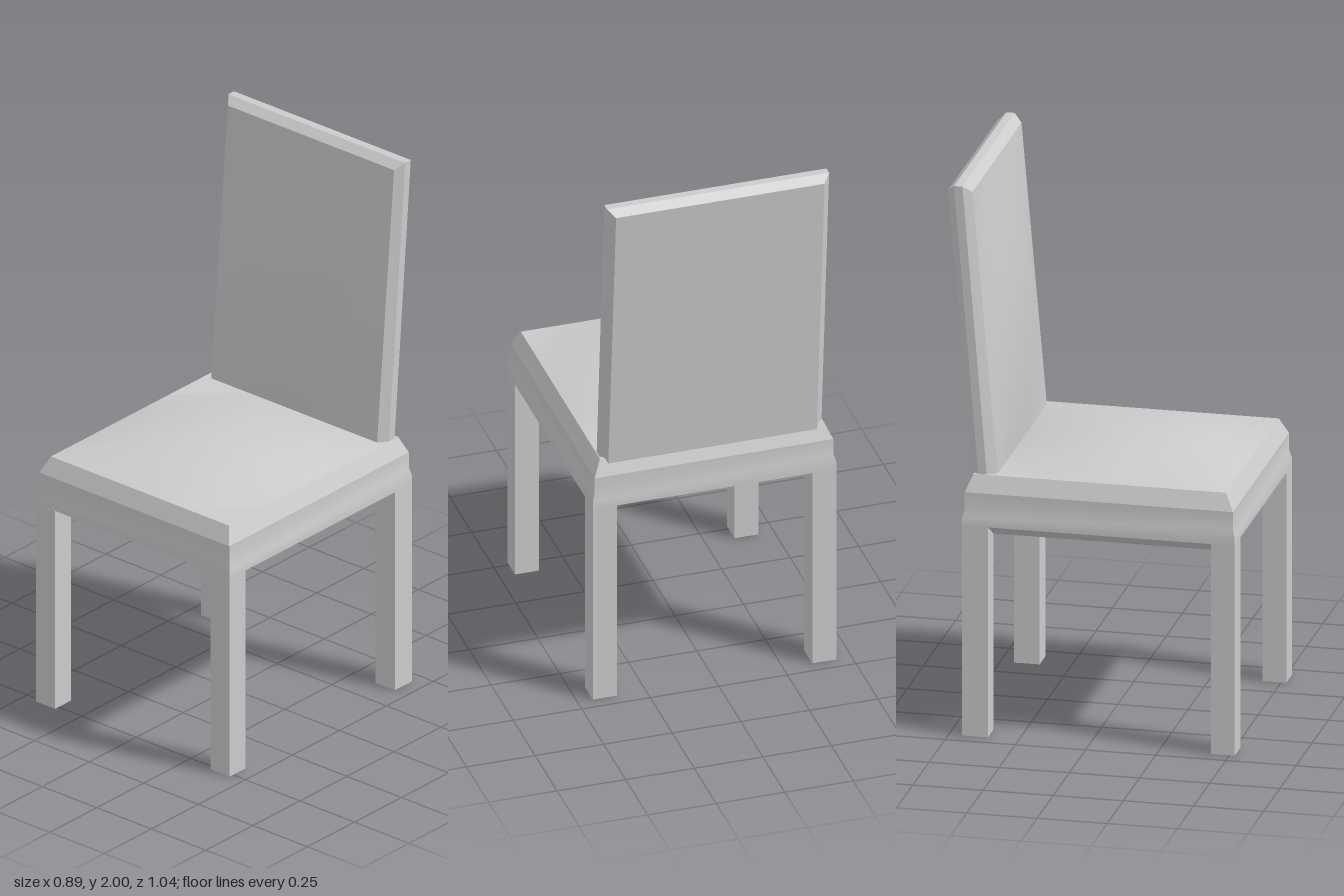
import * as THREE from 'three';
import { toCreasedNormals } from 'three/addons/utils/BufferGeometryUtils.js';

const material = new THREE.MeshStandardMaterial({ color: 0xcccccc });

// Geometry from a list of four-cornered faces, corners counter-clockwise
function fromQuads(quads) {
  const points = quads.flatMap(([a, b, c, d]) => [a, b, c, a, c, d]);
  const geometry = new THREE.BufferGeometry().setFromPoints(points);
  return toCreasedNormals(geometry, 0.35);
}

// Faces joining successive four-cornered rings, with end caps
function loft(rings, capEnd) {
  const quads = [[...rings[0]].reverse()];
  for (let r = 0; r + 1 < rings.length; r++) {
    for (let i = 0; i < 4; i++) {
      const j = (i + 1) % 4;
      quads.push([rings[r][i], rings[r][j], rings[r + 1][j], rings[r + 1][i]]);
    }
  }
  if (capEnd) quads.push(rings[rings.length - 1]);
  return quads;
}

// Faces of a padded panel: a four-cornered outline swelling along a vector.
// us and vs are lists of [position, swell].
function padding([a, b, c, d], swell, us, vs) {
  const at = ([u, fu], [v, fv]) =>
    a.clone().lerp(b, u).lerp(d.clone().lerp(c, u), v).addScaledVector(swell, fu * fv);
  const quads = [];
  for (let i = 0; i + 1 < us.length; i++) {
    for (let j = 0; j + 1 < vs.length; j++) {
      quads.push([at(us[i], vs[j]), at(us[i + 1], vs[j]), at(us[i + 1], vs[j + 1]), at(us[i], vs[j + 1])]);
    }
  }
  return quads;
}

const V = (x, y, z) => new THREE.Vector3(x, y, z);

// Horizontal rectangle for the seat
const level = (x, y, front, back) => [V(-x, y, front), V(x, y, front), V(x, y, back), V(-x, y, back)];

// Leaning upright rectangle for the backrest
const leaning = (x, y0, z0, y1, z1) => [V(-x, y0, z0), V(x, y0, z0), V(x, y1, z1), V(-x, y1, z1)];

export function createModel() {
  const chair = new THREE.Group();
  chair.name = 'chair';
  const add = (name, geometry) => {
    const mesh = new THREE.Mesh(geometry, material);
    mesh.name = name;
    chair.add(mesh);
    return mesh;
  };

  // Legs
  for (const [side, x] of [['Left', 0.4], ['Right', -0.4]]) {
    for (const [end, z, depth] of [['front', 0.476, 0.085], ['back', -0.406, 0.092]]) {
      add(end + side + 'Leg', new THREE.BoxGeometry(0.088, 0.77, depth)).position.set(x, 0.385, z);
    }
  }

  // Upholstered seat, tapering inwards under the rails
  add('seat', fromQuads(loft([
    level(0.36, 0.72, 0.435, -0.36),
    level(0.444, 0.77, 0.518, -0.452),
    level(0.444, 0.8, 0.518, -0.452),
    level(0.435, 0.83, 0.51, -0.445),
    level(0.435, 0.89, 0.51, -0.445),
    level(0.408, 0.95, 0.48, -0.42),
  ], true)));

  // Domed seat cushion
  add('seatCushion', fromQuads(padding(
    level(0.408, 0.95, 0.48, -0.34), V(0, 0.062, 0),
    [[0, 0], [0.24, 0.84], [0.5, 1], [0.76, 0.84], [1, 0]],
    [[0, 0], [0.23, 0.84], [0.5, 1], [0.76, 0.84], [1, 0]],
  )));

  // Backrest frame with bevelled edges, rear to front, and its padded front
  const panel = leaning(0.38, 0.94, -0.339, 1.975, -0.43);
  add('backrest', fromQuads([
    ...loft([
      leaning(0.38, 0.93, -0.428, 1.975, -0.517),
      leaning(0.405, 0.93, -0.402, 2, -0.49),
      leaning(0.405, 0.93, -0.372, 2, -0.46),
      panel,
    ], false),
    ...padding(panel, V(0, 0, 0.037),
      [[0, 0], [0.24, 0.9], [0.5, 1], [0.76, 0.9], [1, 0]],
      [[0, 0], [0.31, 1], [0.62, 1], [1, 0]]),
  ]));

  return chair;
}
